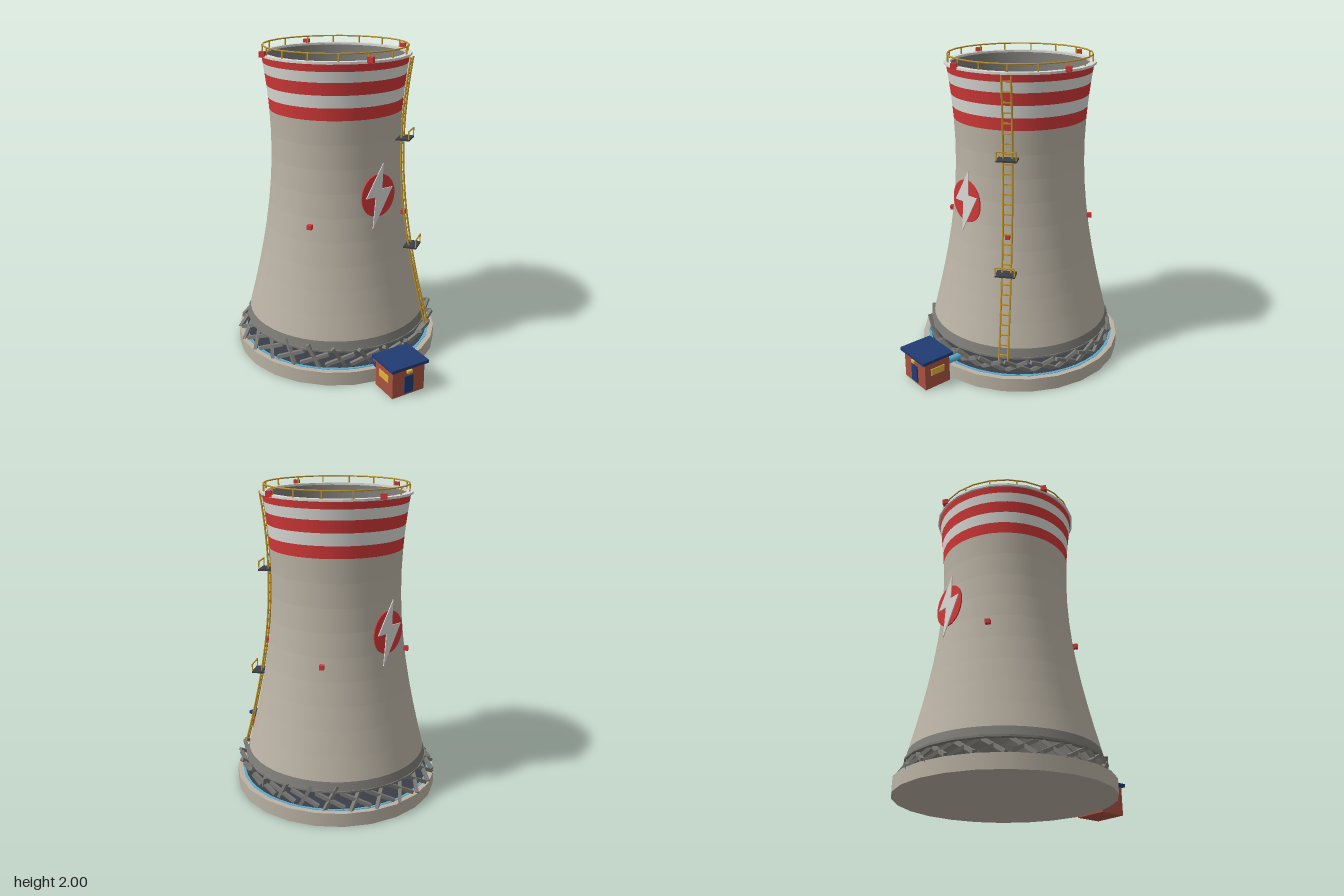
import * as THREE from 'three';

const material = (name, color, side = THREE.FrontSide) => {
  const m = new THREE.MeshStandardMaterial({ color, side });
  m.name = name;
  return m;
};

// Hyperbolic outline of the tower: radius at a given height
const radiusAt = (y) => 0.413 * Math.sqrt(1 + ((y - 1.4) / 1.12) ** 2);

export function createModel() {
  const concrete = material('concrete', 0xbab2a4);
  const grey = material('dark concrete', 0x7c7b76, THREE.DoubleSide);
  const white = material('white paint', 0xdadad6);
  const red = material('red paint', 0xd23838);
  const gold = material('railing yellow', 0xc0952a);
  const yellow = material('window yellow', 0xe0b23a);
  const navy = material('navy', 0x213c74);
  const brick = material('brick', 0xa9523f);
  const slate = material('slate', 0x3a3f48);
  const water = material('water blue', 0x58acd0);

  const model = new THREE.Group();
  const tower = new THREE.Group();
  tower.name = 'tower';
  tower.position.x = -0.05;
  model.add(tower);

  const add = (parent, name, geometry, mat, x = 0, y = 0, z = 0) => {
    const mesh = new THREE.Mesh(geometry, mat);
    mesh.name = name;
    mesh.position.set(x, y, z);
    parent.add(mesh);
    return mesh;
  };
  const box = (parent, name, mat, w, h, d, x, y, z) =>
    add(parent, name, new THREE.BoxGeometry(w, h, d), mat, x, y, z);
  // Square bar between two points
  const bar = (parent, name, mat, a, b, w) => {
    const mesh = box(parent, name, mat, w, w, a.distanceTo(b), 0, 0, 0);
    mesh.position.copy(a).add(b).multiplyScalar(0.5);
    mesh.lookAt(b);
    return mesh;
  };
  const polar = (r, angle, y) => new THREE.Vector3(r * Math.sin(angle), y, r * Math.cos(angle));

  // Basin with its water and dark floor
  add(tower, 'basin', new THREE.CylinderGeometry(0.672, 0.672, 0.09, 24), concrete, 0, 0.045);
  add(tower, 'basinWater', new THREE.CylinderGeometry(0.638, 0.638, 0.004, 24), water, 0, 0.091);
  add(tower, 'basinFloor', new THREE.CylinderGeometry(0.618, 0.618, 0.004, 48), slate, 0, 0.093);

  // Shell built from stacked rings, each with its own colour
  const ring = (name, y0, y1, mat, inset = 0) =>
    add(tower, name, new THREE.CylinderGeometry(radiusAt(y1) - inset, radiusAt(y0) - inset,
      y1 - y0, 48, 1, true), mat, 0, (y0 + y1) / 2);
  ring('lowerRing', 0.2, 0.26, grey);
  for (let i = 0; i < 9; i++) {
    ring('shellRing', 0.26 + (i * 1.345) / 9, 0.26 + ((i + 1) * 1.345) / 9, concrete);
  }
  const stripes = [1.605, 1.68, 1.755, 1.83, 1.893, 1.94];
  for (let i = 0; i < 5; i++) ring('stripe', stripes[i], stripes[i + 1], i % 2 ? white : red);
  for (let i = 0; i < 12; i++) {
    ring('innerWall', 0.2 + i * 0.145, 0.2 + (i + 1) * 0.145, grey, 0.022);
  }

  // Flat rings closing the shell at the bottom and top
  const flatRing = (name, inner, outer, h, y, mat) => {
    const shape = new THREE.Shape().absarc(0, 0, outer, 0, Math.PI * 2);
    shape.holes.push(new THREE.Path().absarc(0, 0, inner, 0, Math.PI * 2, true));
    const g = new THREE.ExtrudeGeometry(shape, { depth: h, bevelEnabled: false, curveSegments: 12 });
    add(tower, name, g.rotateX(-Math.PI / 2), mat, 0, y);
  };
  flatRing('shellFoot', radiusAt(0.2) - 0.025, radiusAt(0.2) + 0.006, 0.012, 0.194, grey);
  flatRing('topRim', 0.433, 0.472, 0.014, 1.937, white);

  // Crossed supports between basin and shell
  const panels = 24;
  for (let i = 0; i < panels; i++) {
    const a = (i / panels) * Math.PI * 2;
    const b = ((i + 1) / panels) * Math.PI * 2;
    bar(tower, 'crossBrace', grey, polar(0.622, a, 0.088), polar(0.606, b, 0.205), 0.022);
    bar(tower, 'crossBrace', grey, polar(0.622, b, 0.088), polar(0.606, a, 0.205), 0.022);
  }

  // Guard rail around the top
  const rail = add(tower, 'topRail', new THREE.TorusGeometry(0.45, 0.005, 6, 24), gold, 0, 1.995);
  rail.rotation.x = Math.PI / 2;
  for (let i = 0; i < 16; i++) {
    const p = polar(0.45, (i / 16) * Math.PI * 2, 1.97);
    box(tower, 'railPost', gold, 0.008, 0.05, 0.008, p.x, p.y, p.z);
  }

  // Warning lights: four on the rim, four at mid height
  for (let i = 0; i < 4; i++) {
    const top = polar(0.474, Math.PI / 4 + (i * Math.PI) / 2, 1.958);
    box(tower, 'rimLight', red, 0.036, 0.034, 0.036, top.x, top.y, top.z);
    const mid = polar(0.459, (i * Math.PI) / 2, 0.955);
    box(tower, 'midLight', red, 0.03, 0.028, 0.03, mid.x, mid.y, mid.z);
  }

  // Ladder following the shell
  const ladder = new THREE.Group();
  ladder.name = 'ladder';
  tower.add(ladder);
  for (const z of [-0.028, 0.028]) {
    const points = [];
    for (let i = 0; i <= 12; i++) {
      const y = 0.19 + (i * 1.75) / 12;
      points.push(new THREE.Vector3(radiusAt(y) + 0.028, y, z));
    }
    add(ladder, 'ladderRail', new THREE.TubeGeometry(new THREE.CatmullRomCurve3(points), 36, 0.006, 6), gold);
  }
  for (let y = 0.23; y < 1.93; y += 0.062) {
    box(ladder, 'rung', gold, 0.008, 0.008, 0.056, radiusAt(y) + 0.028, y, 0);
  }

  // Rest platforms with a small guard frame
  for (const y of [0.735, 1.44]) {
    const r = radiusAt(y);
    box(tower, 'platform', slate, 0.085, 0.01, 0.124, r + 0.043, y, 0);
    for (const z of [-0.058, 0.058]) box(tower, 'platformPost', gold, 0.007, 0.055, 0.007, r + 0.081, y + 0.028, z);
    box(tower, 'platformRail', gold, 0.007, 0.007, 0.123, r + 0.081, y + 0.055, 0);
  }

  // Round warning signs with a bolt, on opposite sides
  const bolt = new THREE.Shape([
    [0.029, 0.2], [-0.095, -0.005], [-0.023, -0.005], [-0.042, -0.206], [0.101, 0.042], [0.023, 0.042],
  ].map(([x, y]) => new THREE.Vector2(x, y)));
  for (const turn of [0, Math.PI]) {
    const sign = new THREE.Group();
    sign.name = 'warningSign';
    const angle = THREE.MathUtils.degToRad(54) + turn;
    sign.position.copy(polar(0.458, angle, 1.14));
    sign.rotation.y = angle;
    tower.add(sign);
    const disc = add(sign, 'signDisc', new THREE.CylinderGeometry(0.122, 0.122, 0.008, 32), red);
    disc.rotation.x = Math.PI / 2;
    disc.scale.z = 1.11;
    add(sign, 'signBolt', new THREE.ExtrudeGeometry(bolt, { depth: 0.006, bevelEnabled: false }), white, 0, 0, 0.005);
  }

  // Pump house, door facing away from the tower
  const house = new THREE.Group();
  house.name = 'pumpHouse';
  house.position.set(0.549, 0, 0.502);
  house.rotation.y = THREE.MathUtils.degToRad(50);
  model.add(house);
  box(house, 'walls', brick, 0.23, 0.186, 0.184, 0, 0.093, 0);
  box(house, 'roof', navy, 0.263, 0.02, 0.225, 0, 0.196, 0);
  box(house, 'door', navy, 0.062, 0.115, 0.009, 0, 0.073, 0.095);
  box(house, 'doorLamp', yellow, 0.034, 0.018, 0.02, 0, 0.16, 0.1);
  for (const s of [-1, 1]) box(house, 'window', yellow, 0.008, 0.044, 0.1, s * 0.117, 0.112, 0);

  // Pipes from the house to the basin, one with a hand wheel
  const pipe = (name, mat, x, y) => {
    add(house, name, new THREE.CylinderGeometry(0.022, 0.022, 0.13, 12), mat, x, y, -0.145).rotation.x = Math.PI / 2;
  };
  pipe('waterPipe', water, 0.068, 0.11);
  pipe('drainPipe', navy, -0.07, 0.085);
  add(house, 'valveStem', new THREE.CylinderGeometry(0.008, 0.008, 0.05, 8), navy, -0.071, 0.115, -0.14);
  add(house, 'valveWheel', new THREE.CylinderGeometry(0.03, 0.03, 0.01, 16), red, -0.071, 0.14, -0.14);

  return model;
}
